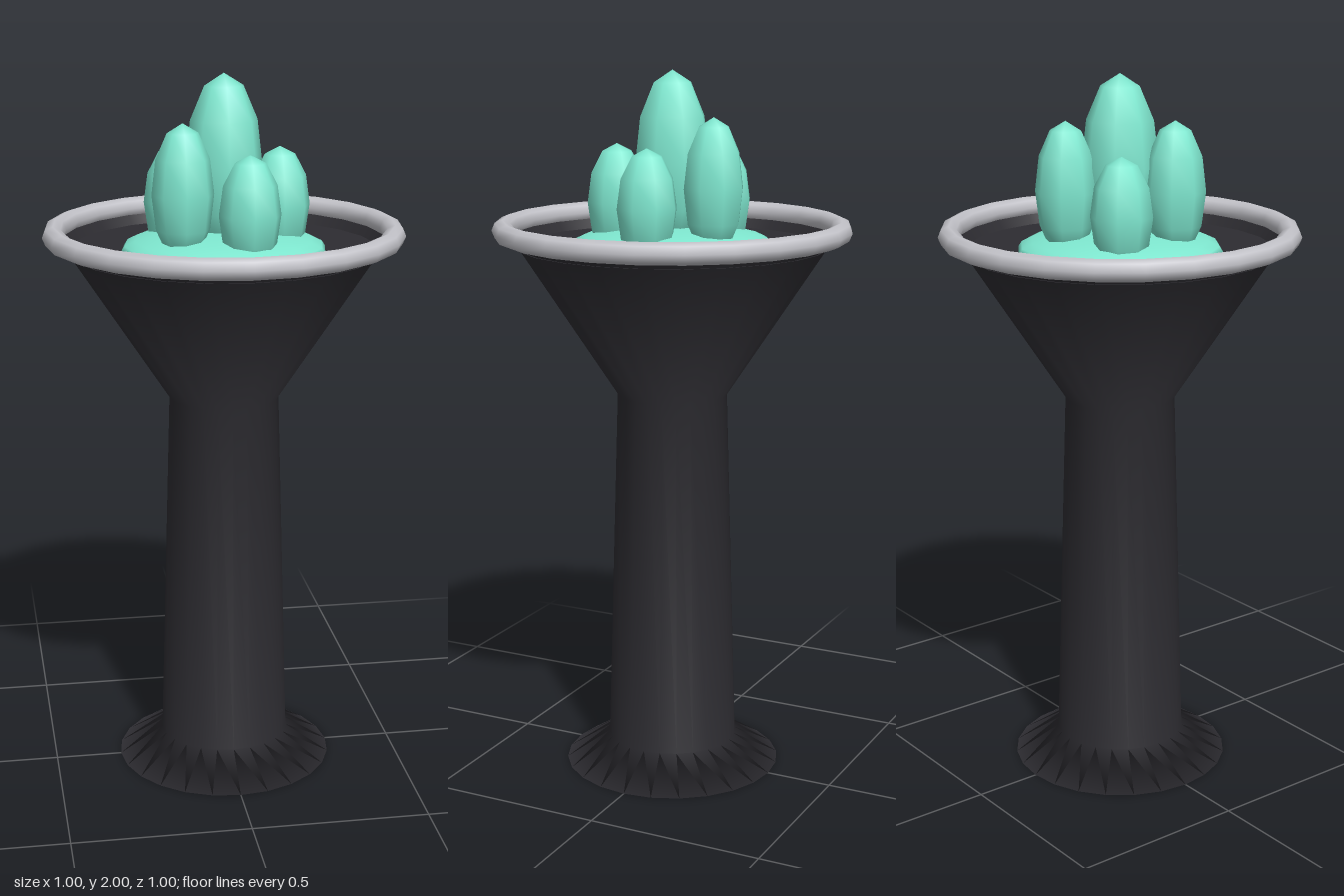
import * as THREE from 'three';

const dark = new THREE.MeshStandardMaterial({ color: 0x2d2c31 });
const silver = new THREE.MeshStandardMaterial({ color: 0xc4c4ca });
const mint = new THREE.MeshStandardMaterial({ color: 0x7fe8d0 });

export function createModel() {
  const model = new THREE.Group();
  model.name = 'crystalPedestal';

  const add = (name, geometry, material, x = 0, y = 0, z = 0) => {
    const mesh = new THREE.Mesh(geometry, material);
    mesh.name = name;
    mesh.position.set(x, y, z);
    model.add(mesh);
    return mesh;
  };

  // Flared foot, tapering column and funnel in one turned profile
  const profile = [[0, 0], [0.31, 0], [0.185, 0.08], [0.155, 1.1], [0.45, 1.55]]
    .map(([r, y]) => new THREE.Vector2(r, y));
  add('pedestal', new THREE.LatheGeometry(profile, 24), dark);

  // Flat floor and short inner wall of the bowl
  add('bowlFloor', new THREE.CircleGeometry(0.435, 24).rotateX(-Math.PI / 2), dark, 0, 1.52, 0);
  const wall = [[0.45, 1.55], [0.43, 1.52]].map(([r, y]) => new THREE.Vector2(r, y));
  add('bowlWall', new THREE.LatheGeometry(wall, 24), dark);

  // Rounded rim
  add('rim', new THREE.TorusGeometry(0.47, 0.03, 8, 24).rotateX(Math.PI / 2), silver, 0, 1.565, 0);

  // Shallow mound that the crystals grow from
  const mound = new THREE.SphereGeometry(0.285, 16, 6, 0, Math.PI * 2, 0, Math.PI / 2);
  add('mound', mound.scale(1, 0.2, 1), mint, 0, 1.52, 0);

  // Stretched low-poly crystal, placed by its tip
  const crystal = (name, r, halfHeight, x, tip, z) =>
    add(name, new THREE.SphereGeometry(r, 8, 6).scale(1, halfHeight / r, 1), mint, x, tip - halfHeight, z);

  crystal('centreCrystal', 0.107, 0.25, 0, 2, 0);

  // Ring of five crystals, alternating short and tall
  for (let i = 0; i < 5; i++) {
    const a = (i / 5) * Math.PI * 2;
    const tall = i % 2 === 1;
    crystal('outerCrystal' + (i + 1), 0.085, tall ? 0.19 : 0.16,
      0.155 * Math.cos(a), tall ? 1.88 : 1.8, -0.155 * Math.sin(a));
  }
  return model;
}
